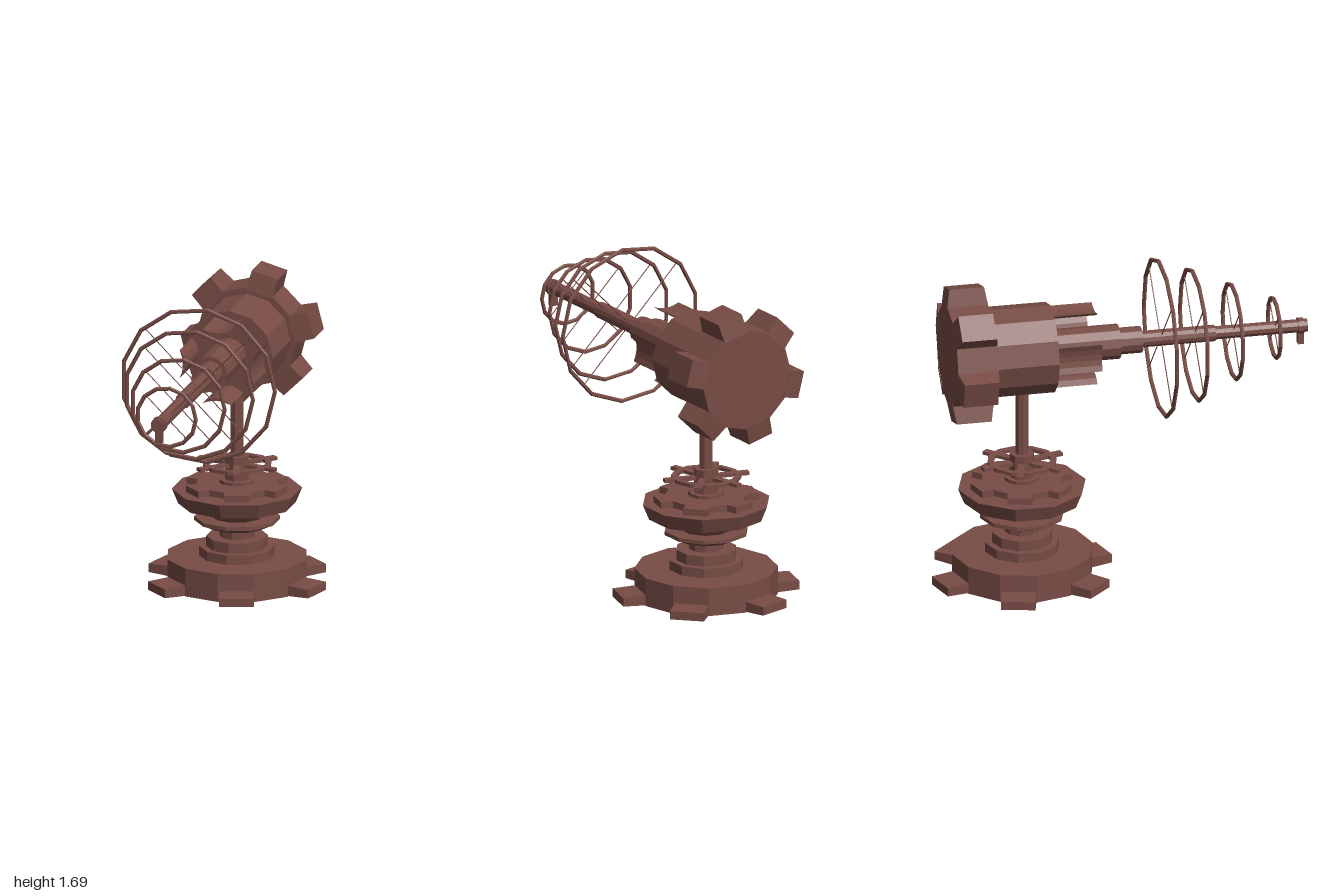
import * as THREE from 'three';

const material = new THREE.MeshStandardMaterial({ color: 0x784c45, flatShading: true, side: THREE.DoubleSide });
const TWIST = THREE.MathUtils.degToRad(14.5); // shared offset of all the six-fold lugs

function add(parent, name, geometry, x = 0, y = 0, z = 0) {
  const mesh = new THREE.Mesh(geometry, material);
  mesh.name = name;
  mesh.position.set(x, y, z);
  parent.add(mesh);
  return mesh;
}

// Upright faceted drum between two heights
function drum(parent, name, y0, y1, r0, r1 = r0, sides = 12) {
  return add(parent, name, new THREE.CylinderGeometry(r1, r0, y1 - y0, sides), 0, (y0 + y1) / 2, 0);
}

// Six radial blocks whose outer ends are slightly thinner
function sixLugs(parent, name, twist, inner, outer, y0, y1, width, taper = 1) {
  const geo = new THREE.BoxGeometry(outer - inner, y1 - y0, width);
  const p = geo.attributes.position;
  for (let i = 0; i < p.count; i++) if (p.getX(i) > 0) p.setY(i, p.getY(i) * taper);
  geo.translate((inner + outer) / 2, (y0 + y1) / 2, 0);
  for (let i = 0; i < 6; i++) add(parent, name, geo).rotation.y = -twist - i * Math.PI / 3;
}

function buildStand() {
  const stand = new THREE.Group();
  stand.name = 'stand';
  stand.position.z = -0.51;

  // Footed base and stepped pedestal
  drum(stand, 'baseDisc', 0, 0.15, 0.372);
  sixLugs(stand, 'baseFoot', TWIST, 0.3, 0.48, 0, 0.06, 0.18, 0.75);
  drum(stand, 'lowerStep', 0.15, 0.2, 0.197, 0.197, 10);
  drum(stand, 'upperStep', 0.2, 0.255, 0.16, 0.16, 10);
  drum(stand, 'neck', 0.25, 0.32, 0.092, 0.092, 10);

  // Collar and flared bowl
  drum(stand, 'collarFlare', 0.31, 0.34, 0.155, 0.215, 10);
  drum(stand, 'collarRim', 0.34, 0.36, 0.222, 0.222, 10);
  drum(stand, 'bowlFoot', 0.35, 0.43, 0.125, 0.187, 10);
  drum(stand, 'bowl', 0.43, 0.51, 0.305, 0.338, 10);
  drum(stand, 'bowlTop', 0.51, 0.545, 0.215, 0.215, 12);
  sixLugs(stand, 'bowlTooth', TWIST, 0.15, 0.266, 0.51, 0.545, 0.13);

  // Spoked wheel and post
  drum(stand, 'hubFoot', 0.54, 0.562, 0.093);
  drum(stand, 'hub', 0.55, 0.69, 0.065, 0.065, 8);
  sixLugs(stand, 'wheelSpoke', TWIST, 0.04, 0.23, 0.632, 0.65, 0.038);
  const rim = new THREE.LatheGeometry([[0.15, 0.632], [0.183, 0.632], [0.183, 0.65], [0.15, 0.65], [0.15, 0.632]]
    .map(([r, y]) => new THREE.Vector2(r, y)), 12);
  add(stand, 'wheelRim', rim);
  drum(stand, 'post', 0.68, 1.1, 0.035, 0.035, 8);
  return stand;
}

// Built upright along y, then laid forward along z
function buildBarrel() {
  const barrel = new THREE.Group();
  barrel.name = 'barrel';
  barrel.position.y = 1.272;
  barrel.rotation.x = Math.PI / 2;

  // Rear gear and body
  drum(barrel, 'rearGear', -0.905, -0.69, 0.27);
  sixLugs(barrel, 'rearGearTooth', -TWIST, 0.25, 0.353, -0.907, -0.688, 0.145, 0.84);
  drum(barrel, 'body', -0.7, -0.36, 0.237);

  // Stepped barrel
  drum(barrel, 'barrelRoot', -0.37, 0, 0.092);
  drum(barrel, 'barrelCollar', 0, 0.12, 0.07);
  drum(barrel, 'barrelSleeve', 0.1, 0.51, 0.043);
  drum(barrel, 'barrelTube', 0.5, 1, 0.035, 0.035, 10);
  drum(barrel, 'muzzleBand', 0.95, 0.98, 0.043, 0.043, 10);
  add(barrel, 'muzzleTab', new THREE.BoxGeometry(0.038, 0.03, 0.07), 0, 0.965, 0.062);

  // Crescent guard plates, hollow side outward, around the barrel root
  const crescent = new THREE.Shape();
  crescent.moveTo(0.2, -0.075);
  crescent.quadraticCurveTo(0.13, 0, 0.2, 0.075);
  crescent.quadraticCurveTo(0.165, 0, 0.2, -0.075);
  const plate = new THREE.ExtrudeGeometry(crescent, { depth: 0.24, bevelEnabled: false, curveSegments: 5 });
  plate.rotateX(-Math.PI / 2);
  for (let i = 0; i < 4; i++) {
    add(barrel, 'guardPlate', plate, 0, -0.365, 0).rotation.y = i * Math.PI / 2;
  }

  // Thin rings on fine spokes, shrinking toward the muzzle
  for (const [y, r] of [[0.225, 0.413], [0.402, 0.345], [0.608, 0.251], [0.828, 0.158]]) {
    const ring = new THREE.TorusGeometry(r, 0.011, 6, 13);
    ring.rotateX(Math.PI / 2);
    add(barrel, 'ring', ring, 0, y, 0);
    const spoke = new THREE.CylinderGeometry(0.003, 0.003, r, 5);
    spoke.rotateZ(Math.PI / 2);
    spoke.translate(r / 2, 0, 0);
    for (let i = 0; i < 4; i++) {
      add(barrel, 'ringSpoke', spoke, 0, y, 0).rotation.y = Math.PI / 4 + i * Math.PI / 2;
    }
  }
  return barrel;
}

export function createModel() {
  const model = new THREE.Group();
  model.name = 'mountedRayCannon';
  model.add(buildStand(), buildBarrel());
  return model;
}
